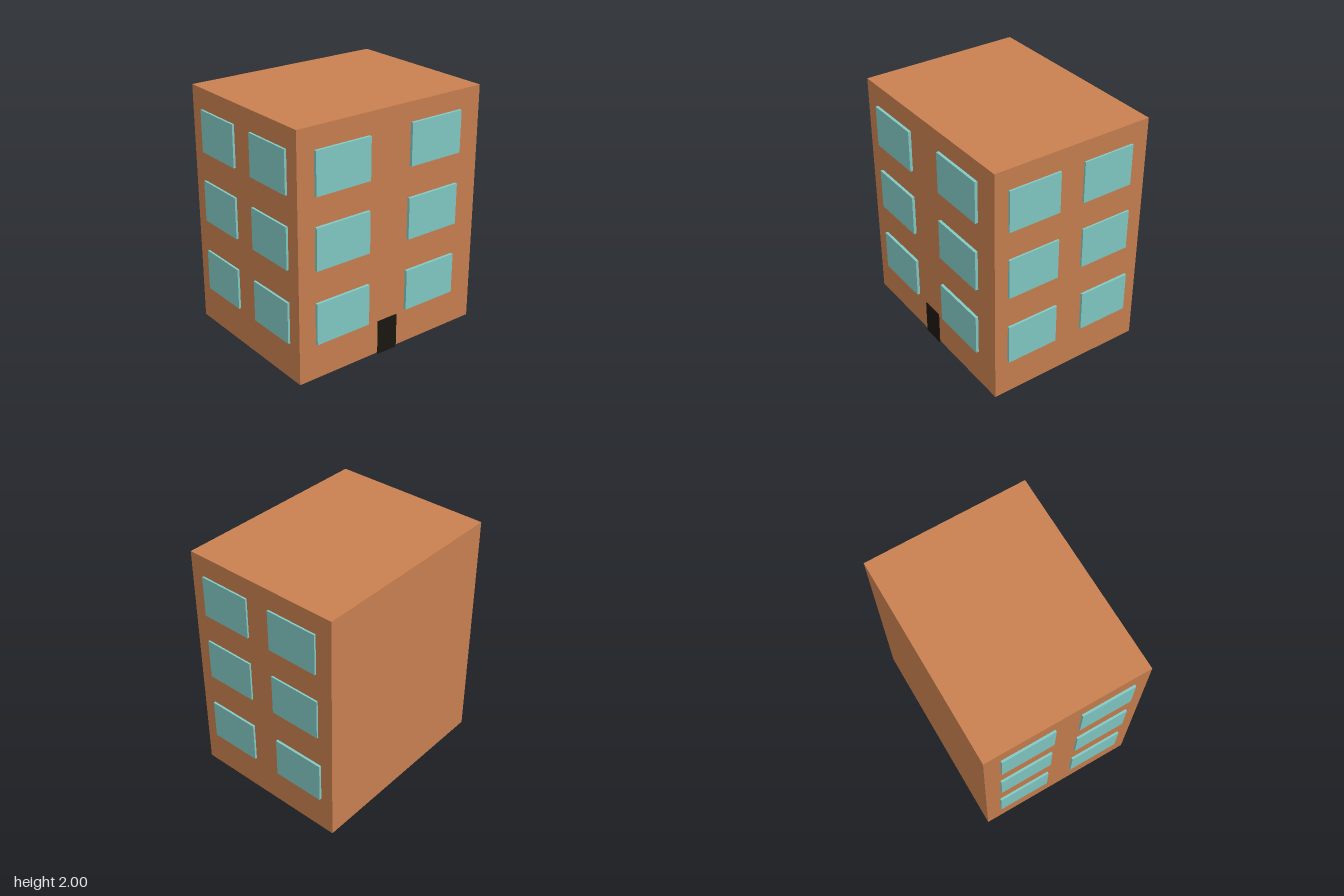
import * as THREE from 'three';

const material = (color) => new THREE.MeshStandardMaterial({ color, flatShading: true });

// Box given by its lower and upper corners
function block(name, mat, [x0, y0, z0], [x1, y1, z1]) {
  const mesh = new THREE.Mesh(new THREE.BoxGeometry(x1 - x0, y1 - y0, z1 - z0), mat);
  mesh.position.set((x0 + x1) / 2, (y0 + y1) / 2, (z0 + z1) / 2);
  mesh.name = name;
  return mesh;
}

export function createModel() {
  const model = new THREE.Group();
  model.name = 'apartmentBuilding';
  const brick = material(0xc98050);
  const glass = material(0x82cac5);
  const black = material(0x1b1712);

  // Main block
  model.add(block('walls', brick, [-0.857, 0.01, -0.684], [0.855, 2, 0.658]));

  // Front windows: [x, y] of the lower left corner, slightly uneven
  const front = [
    [-0.71, 1.487], [0.165, 1.504],
    [-0.71, 0.912], [0.155, 0.912],
    [-0.71, 0.308], [0.148, 0.308],
  ];
  for (const [x, y] of front) {
    model.add(block('frontWindow', glass, [x, y, 0.64], [x + 0.488, y + 0.34, 0.681]));
  }

  // Side windows: [z, y] of the lower rear corner and how far out the pane reaches
  const right = [
    [0.105, 1.495, 0.87], [-0.543, 1.495, 0.87],
    [0.105, 0.92, 0.87], [-0.553, 0.92, 0.87],
    [0.107, 0.313, 0.873], [-0.575, 0.313, 0.875],
  ];
  for (const [z, y, x] of right) {
    model.add(block('plusXWindow', glass, [0.84, y, z], [x, y + 0.339, z + 0.438]));
  }
  const left = [
    [0.102, 1.495], [-0.55, 1.495],
    [0.102, 0.917], [-0.555, 0.917],
    [0.102, 0.313], [-0.562, 0.313],
  ];
  for (const [z, y] of left) {
    model.add(block('minusXWindow', glass, [-0.875, y, z], [-0.84, y + 0.339, z + 0.438]));
  }

  // Door with a thin sill folded under the wall
  model.add(block('door', black, [-0.116, 0, 0.65], [0.068, 0.289, 0.667]));
  model.add(block('doorSill', black, [-0.116, 0, 0.578], [0.068, 0.011, 0.655]));

  return model;
}
